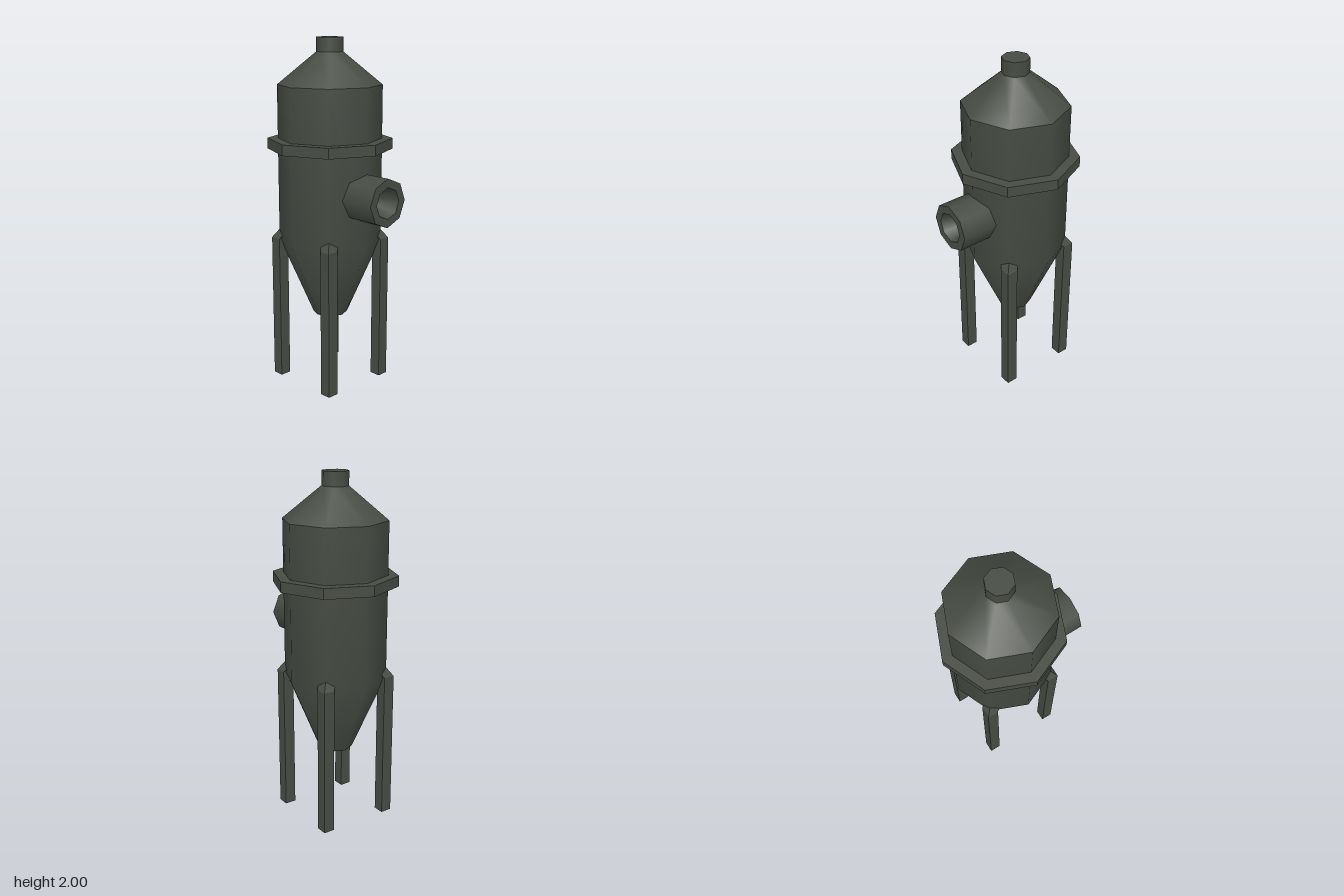
import * as THREE from 'three';

export function createModel() {
  const model = new THREE.Group();
  const SIDES = 8;
  const steel = new THREE.MeshStandardMaterial({ color: 0x474c44 });
  steel.name = 'dark steel';

  // Separate copies of the geometry's faces give hard, faceted edges
  const faceted = (geo) => {
    const flat = geo.toNonIndexed();
    flat.computeVertexNormals();
    return flat;
  };
  const add = (parent, name, geo, x = 0, y = 0, z = 0) => {
    const mesh = new THREE.Mesh(geo, steel);
    mesh.name = name;
    mesh.position.set(x, y, z);
    parent.add(mesh);
    return mesh;
  };
  const lathe = (points) =>
    new THREE.LatheGeometry(points.map(([r, y]) => new THREE.Vector2(r, y)), SIDES);

  // Tank, set a little to the right so the inlet balances it
  const tank = new THREE.Group();
  tank.name = 'tank';
  tank.position.x = -0.05;
  model.add(tank);
  add(tank, 'hopperAndShell', lathe([[0.1, 0.4], [0.295, 0.85], [0.295, 1.74]]));
  add(tank, 'hopperBottom', lathe([[0, 0.4], [0.1, 0.4]]));
  add(tank, 'roof', lathe([[0.295, 1.74], [0.075, 1.92]]));
  add(tank, 'neck', new THREE.CylinderGeometry(0.075, 0.075, 0.08, SIDES), 0, 1.96);
  add(tank, 'flange', faceted(new THREE.CylinderGeometry(0.355, 0.355, 0.06, SIDES)), 0, 1.41);

  // Side inlet: outer wall, rim and tapering bore, laid along +x
  const inlet = new THREE.Group();
  inlet.name = 'inlet';
  inlet.position.y = 1.135;
  inlet.rotation.z = -Math.PI / 2;
  model.add(inlet);
  add(inlet, 'inletWall', lathe([[0.136, 0.12], [0.136, 0.4]]));
  add(inlet, 'inletRim', lathe([[0.136, 0.4], [0.088, 0.4]]));
  add(inlet, 'inletBore', lathe([[0.088, 0.4], [0.05, 0.25]]));
  add(inlet, 'inletBoreEnd', lathe([[0.05, 0.25], [0, 0.25]]));

  // Four square legs whose tops bend inward into the shell
  const bendY = 0.855, topY = 0.95, lean = 0.06, legR = 0.207;
  for (const sx of [-1, 1]) {
    for (const sz of [-1, 1]) {
      const geo = new THREE.BoxGeometry(0.066, 2, 0.066, 1, 2, 1);
      const p = geo.attributes.position;
      for (let i = 0; i < p.count; i++) {
        const level = Math.round(p.getY(i)); // -1 foot, 0 bend, 1 top
        p.setY(i, level < 0 ? 0 : level === 0 ? bendY : topY);
        if (level > 0) {
          p.setX(i, p.getX(i) - sx * lean);
          p.setZ(i, p.getZ(i) - sz * lean);
        }
      }
      const name = (sz > 0 ? 'front' : 'back') + (sx > 0 ? 'Left' : 'Right') + 'Leg';
      add(tank, name, faceted(geo), sx * legR, 0, sz * legR);
    }
  }
  return model;
}
